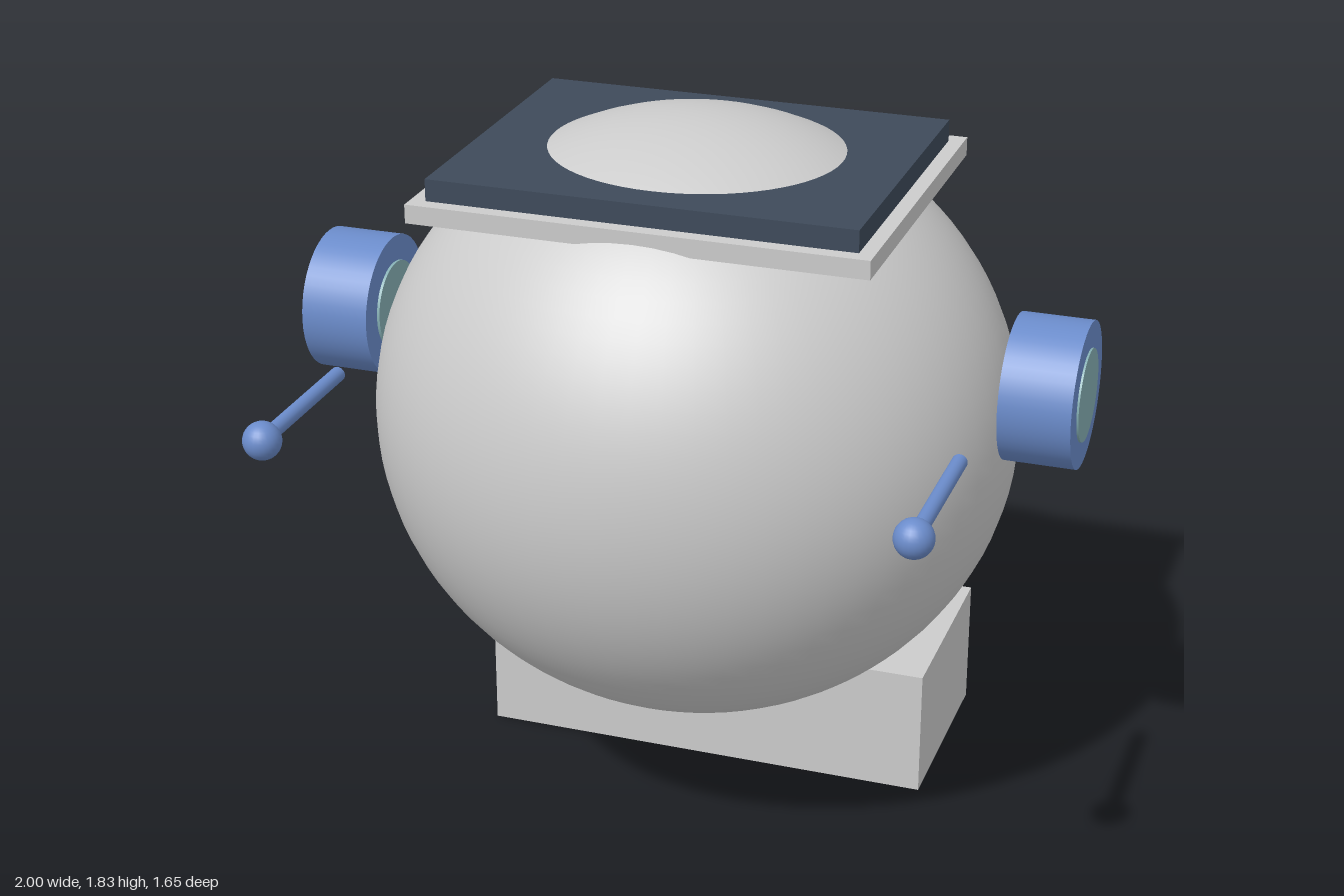
import * as THREE from 'three';

const mat = (color) => new THREE.MeshStandardMaterial({ color });
const grey = mat(0xcccccc), dark = mat(0x3e4a5a), blue = mat(0x6b8ccb), teal = mat(0x86b0b4);

export function createModel() {
  const model = new THREE.Group();

  const add = (name, geometry, material, x, y, z) => {
    const mesh = new THREE.Mesh(geometry, material);
    mesh.name = name;
    mesh.position.set(x, y, z);
    model.add(mesh);
    return mesh;
  };
  // Box from its extents, symmetric in x
  const slab = (name, material, halfX, y0, y1, z0, z1) =>
    add(name, new THREE.BoxGeometry(halfX * 2, y1 - y0, z1 - z0), material,
      0, (y0 + y1) / 2, (z0 + z1) / 2);

  // Slightly flattened ball body
  const body = add('body', new THREE.SphereGeometry(1, 64, 48), grey, 0, 1.052, -0.07);
  body.scale.set(0.82, 0.778, 0.755);

  // Stand and the neck that joins it to the body
  slab('base', grey, 0.602, 0, 0.34, -0.665, -0.13);
  slab('neck', dark, 0.385, 0.33, 0.427, -0.415, -0.143);

  // Two stacked plates with the body's crown rising through them
  slab('lowerTopPlate', grey, 0.57, 1.645, 1.692, -0.51, 0.4);
  slab('upperTopPlate', dark, 0.532, 1.692, 1.747, -0.468, 0.362);

  for (const [side, s] of [['left', 1], ['right', -1]]) {
    // Side drum with a disc showing at both ends
    const drum = add(side + 'Drum', new THREE.CylinderGeometry(0.182, 0.182, 0.178, 48), blue,
      s * 0.906, 1.235, -0.052);
    const disc = add(side + 'Disc', new THREE.CylinderGeometry(0.115, 0.115, 0.19, 48), teal,
      s * 0.905, 1.235, -0.052);
    drum.rotation.z = disc.rotation.z = Math.PI / 2;

    // Forward rod with a ball tip
    const rod = add(side + 'Rod', new THREE.CylinderGeometry(0.019, 0.019, 0.415, 20), blue,
      s * 0.786, 1.212, 0.572);
    rod.rotation.x = Math.PI / 2;
    add(side + 'RodBall', new THREE.SphereGeometry(0.047, 24, 16), blue, s * 0.786, 1.212, 0.778);
  }
  return model;
}
